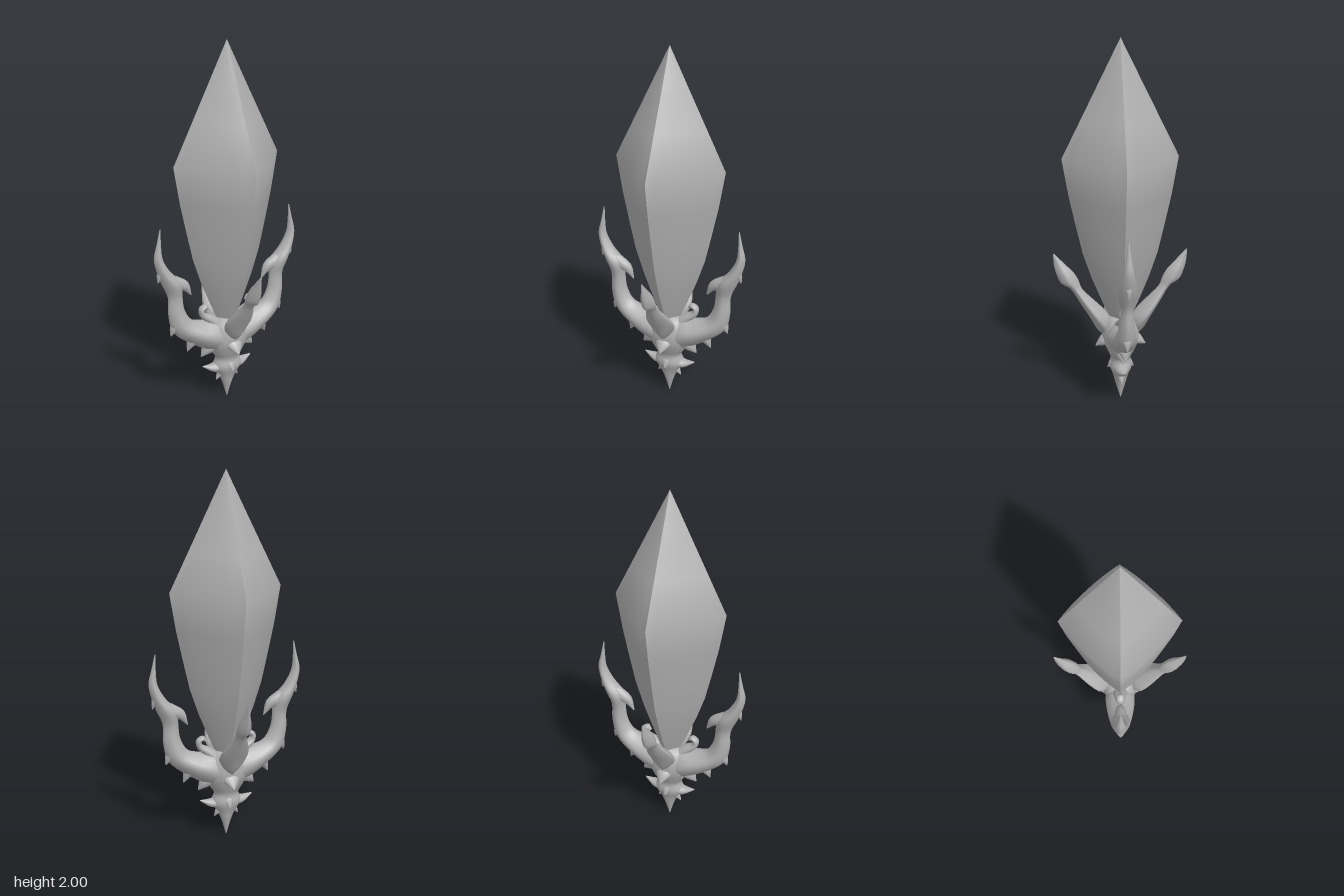
import * as THREE from 'three';

const stone = new THREE.MeshStandardMaterial({ color: 0xb0b0b0, side: THREE.DoubleSide });
stone.name = 'grey stone';

function mesh(name, geometry) {
  const m = new THREE.Mesh(geometry, stone);
  m.name = name;
  return m;
}

// Smooth surface through a grid of points, rows x cols
function gridGeometry(rows, closed) {
  const cols = rows[0].length, index = [];
  for (let i = 0; i < rows.length - 1; i++) {
    for (let j = 0; j < (closed ? cols : cols - 1); j++) {
      const k = (j + 1) % cols;
      const a = i * cols + j, b = i * cols + k, c = a + cols, d = b + cols;
      index.push(a, c, b, b, c, d);
    }
  }
  const g = new THREE.BufferGeometry();
  g.setAttribute('position', new THREE.Float32BufferAttribute(rows.flat(2), 3));
  g.setIndex(index);
  g.computeVertexNormals();
  return g;
}

// Loft through stations [outerX, outerY, innerX, innerY, halfDepth], base to tip
function loft(stations, { sharp = 1, steps = 3, sides = 16 } = {}) {
  const outer = new THREE.CatmullRomCurve3(stations.map(s => new THREE.Vector3(s[0], s[1], s[4])), false, 'centripetal');
  const inner = new THREE.CatmullRomCurve3(stations.map(s => new THREE.Vector3(s[2], s[3], 0)), false, 'centripetal');
  const power = v => Math.sign(v) * Math.abs(v) ** sharp;
  const n = (stations.length - 1) * steps, rows = [];
  for (let i = 0; i <= n; i++) {
    const a = outer.getPoint(i / n), b = inner.getPoint(i / n), row = [];
    for (let j = 0; j < sides; j++) {
      const t = j / sides * Math.PI * 2, c = power(Math.cos(t)), s = power(Math.sin(t));
      row.push([(a.x + b.x) / 2 + (a.x - b.x) / 2 * c, (a.y + b.y) / 2 + (a.y - b.y) / 2 * c, Math.max(a.z, 0.001) * s]);
    }
    rows.push(row);
  }
  return gridGeometry(rows, true);
}

// Loft along a path of [x, y, halfWidth, halfDepth]
function stroke(path, options) {
  return loft(path.map(([x, y, w, d], i) => {
    const p = path[Math.max(i - 1, 0)], q = path[Math.min(i + 1, path.length - 1)];
    const l = Math.hypot(q[0] - p[0], q[1] - p[1]);
    const nx = (q[1] - p[1]) / l, ny = -(q[0] - p[0]) / l;
    return [x + nx * w, y + ny * w, x - nx * w, y - ny * w, d];
  }), options);
}

// Curved thorn from a root, through a bend, to a point
function thorn(x0, y0, xm, ym, x1, y1, w, d) {
  return stroke([[x0, y0, w, d], [xm, ym, w * 0.6, d * 0.7], [x1, y1, 0.003, 0.003]]);
}

// One of the four bulging crystal faces, between two sharp ridges
function crystalFace() {
  const profile = [[0.002, 0.38], [0.05, 0.48], [0.1, 0.6], [0.155, 0.74], [0.2, 0.88],
    [0.235, 1.04], [0.268, 1.2], [0.3, 1.4], [0.2, 1.6], [0.1, 1.8], [0.0005, 2]];
  const cols = 8;
  return gridGeometry(profile.map(([r, y]) => Array.from({ length: cols + 1 }, (_, j) => {
    const s = j / cols, bulge = r * (1 + 0.33 * s * (1 - s));
    return [bulge * (1 - s), y, bulge * s];
  })), false);
}

// Side ornament: tall horn, thorns and curl
function sideArm() {
  const arm = new THREE.Group();
  arm.add(mesh('horn', loft([
    [0, 0.28, 0, 0.48, 0.07],
    [0.12, 0.33, 0.06, 0.51, 0.085],
    [0.23, 0.40, 0.14, 0.515, 0.075],
    [0.325, 0.49, 0.215, 0.54, 0.055],
    [0.35, 0.60, 0.255, 0.61, 0.04],
    [0.35, 0.70, 0.265, 0.69, 0.032],
    [0.385, 0.79, 0.27, 0.77, 0.05],
    [0.402, 0.84, 0.335, 0.85, 0.042],
    [0.42, 0.93, 0.372, 0.925, 0.027],
    [0.402, 1.01, 0.379, 1.0, 0.014],
    [0.384, 1.088, 0.379, 1.088, 0.003]], { sharp: 1.25, steps: 4 })));
  const thorns = [
    [0.32, 0.775, 0.25, 0.745, 0.215, 0.685, 0.045, 0.035],
    [0.37, 0.86, 0.392, 0.835, 0.402, 0.795, 0.025, 0.025],
    [0.28, 0.55, 0.32, 0.51, 0.338, 0.47, 0.04, 0.035],
    [0.17, 0.46, 0.215, 0.41, 0.243, 0.352, 0.05, 0.05],
    [0.06, 0.38, 0.125, 0.335, 0.16, 0.295, 0.055, 0.05],
    [0.02, 0.215, 0.085, 0.205, 0.15, 0.228, 0.04, 0.045],
    [0.01, 0.19, 0.045, 0.155, 0.068, 0.122, 0.03, 0.03]];
  thorns.forEach(t => arm.add(mesh('thorn', thorn(...t))));
  arm.add(mesh('curl', stroke([[0.05, 0.46, 0.04, 0.05], [0.105, 0.515, 0.026, 0.035], [0.148, 0.55, 0.018, 0.025],
    [0.153, 0.582, 0.015, 0.022], [0.132, 0.594, 0.014, 0.02], [0.115, 0.577, 0.008, 0.01]], { steps: 4 })));
  return arm;
}

// Leaning blade with small thorns beneath, made along +x
function leaningBlade() {
  const blade = new THREE.Group();
  blade.add(mesh('blade', loft([
    [0.075, 0.385, 0.06, 0.40, 0.003],
    [0.125, 0.43, 0.05, 0.49, 0.055],
    [0.165, 0.505, 0.08, 0.54, 0.08],
    [0.215, 0.59, 0.14, 0.605, 0.062],
    [0.272, 0.685, 0.207, 0.68, 0.032],
    [0.318, 0.715, 0.225, 0.73, 0.038],
    [0.34, 0.765, 0.25, 0.775, 0.033],
    [0.353, 0.82, 0.295, 0.825, 0.017],
    [0.357, 0.886, 0.351, 0.886, 0.003]], { sharp: 1.4 })));
  blade.add(mesh('collarThorn', thorn(0.03, 0.39, 0.095, 0.365, 0.137, 0.333, 0.045, 0.06)));
  blade.add(mesh('lowerThorn', thorn(0.01, 0.24, 0.045, 0.225, 0.072, 0.195, 0.035, 0.04)));
  return blade;
}

export function createModel() {
  const model = new THREE.Group();
  model.name = 'crystalOrnament';

  const crystal = new THREE.Group();
  crystal.name = 'crystal';
  const arms = new THREE.Group();
  arms.name = 'sideArms';
  const blades = new THREE.Group();
  blades.name = 'leaningBlades';
  model.add(crystal, arms, blades);

  for (let i = 0; i < 4; i++) {
    const face = mesh('crystalFace', crystalFace());
    face.rotation.y = i * Math.PI / 2;
    crystal.add(face);
  }

  // Pointed base holding the crystal
  model.add(mesh('base', stroke([
    [0, 0, 0.002, 0.002], [0, 0.1, 0.03, 0.03], [0, 0.15, 0.052, 0.042], [0, 0.21, 0.085, 0.062],
    [0, 0.26, 0.068, 0.055], [0, 0.31, 0.095, 0.075], [0, 0.38, 0.12, 0.1], [0, 0.46, 0.11, 0.095],
    [0, 0.51, 0.07, 0.065], [0, 0.52, 0.002, 0.002]])));

  for (const i of [0, 1]) {
    const arm = sideArm();
    arm.name = i ? 'rightArm' : 'leftArm';
    arm.rotation.y = i * Math.PI;
    arms.add(arm);
    const blade = leaningBlade();
    blade.name = i ? 'backBlade' : 'frontBlade';
    blade.rotation.y = (i ? 1 : -1) * Math.PI / 2;
    blades.add(blade);
  }
  return model;
}
